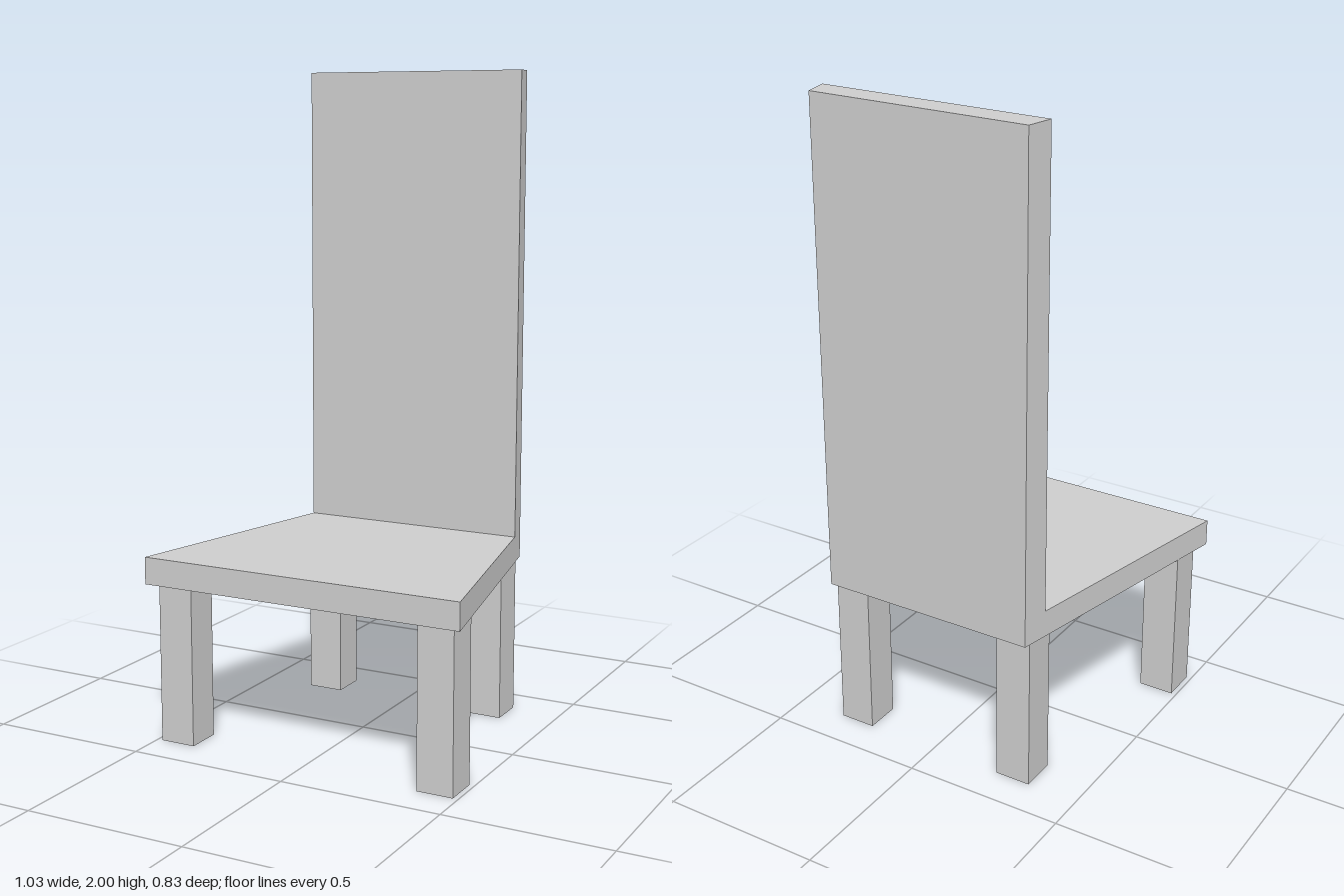
import * as THREE from 'three';

const SEAT_BOTTOM = 0.49, SEAT_TOP = 0.573, HEIGHT = 2;
const DEPTH = 0.413, BACK_FRONT = -0.33;

// Half the chair's width, narrowing towards the back
const halfWidth = z => 0.428 + (z / DEPTH) * 0.086;

// Removes the horizontal faces lying at height y, leaving the part open there
function openAt(geometry, y) {
  const flat = geometry.index ? geometry.toNonIndexed() : geometry;
  const p = flat.attributes.position;
  const kept = [];
  for (let i = 0; i < p.count; i += 3) {
    const corners = [i, i + 1, i + 2];
    if (corners.every(c => Math.abs(p.getY(c) - y) < 1e-4)) continue;
    for (const c of corners) kept.push(p.getX(c), p.getY(c), p.getZ(c));
  }
  const out = new THREE.BufferGeometry();
  out.setAttribute('position', new THREE.Float32BufferAttribute(kept, 3));
  out.computeVertexNormals();
  return out;
}

export function createModel() {
  const chair = new THREE.Group();
  chair.name = 'chair';
  const grey = new THREE.MeshStandardMaterial({ color: 0xcccccc, side: THREE.DoubleSide });
  grey.name = 'light grey';

  // Seat and backrest: one L-shaped side profile, stretched to the tapered width
  const profile = new THREE.Shape([
    [-DEPTH, SEAT_BOTTOM], [DEPTH, SEAT_BOTTOM], [DEPTH, SEAT_TOP],
    [BACK_FRONT, SEAT_TOP], [BACK_FRONT, HEIGHT], [-DEPTH, HEIGHT],
  ].map(([z, y]) => new THREE.Vector2(z, y)));
  const shell = new THREE.ExtrudeGeometry(profile, { depth: 2, bevelEnabled: false });
  shell.rotateY(-Math.PI / 2).translate(1, 0, 0);
  const p = shell.attributes.position;
  for (let i = 0; i < p.count; i++) p.setX(i, p.getX(i) * halfWidth(p.getZ(i)));
  const seat = new THREE.Mesh(openAt(shell, SEAT_BOTTOM), grey);
  seat.name = 'seatAndBackrest';
  chair.add(seat);

  // Four hollow square legs, the back pair set closer together
  const box = new THREE.BoxGeometry(0.112, SEAT_BOTTOM, 0.112).translate(0, SEAT_BOTTOM / 2, 0);
  const legGeometry = openAt(openAt(box, 0), SEAT_BOTTOM);
  for (const [end, x, z] of [['front', 0.428, 0.328], ['back', 0.284, -0.328]]) {
    for (const [side, s] of [['Left', 1], ['Right', -1]]) {
      const leg = new THREE.Mesh(legGeometry, grey);
      leg.name = `${end}${side}Leg`;
      leg.position.set(s * x, 0, z);
      chair.add(leg);
    }
  }
  return chair;
}
